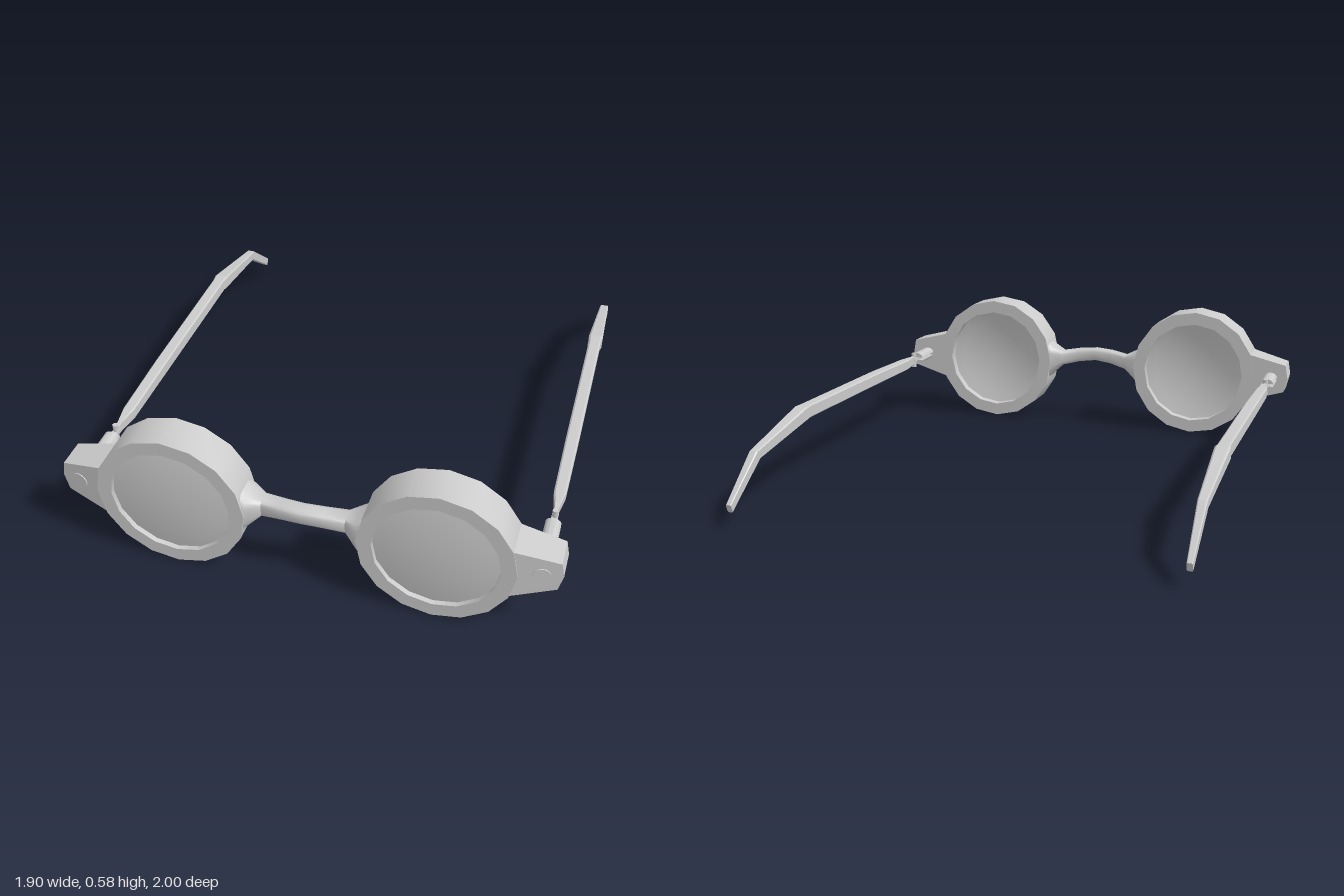
import * as THREE from 'three';
import { toCreasedNormals } from 'three/addons/utils/BufferGeometryUtils.js';
import { ConvexGeometry } from 'three/addons/geometries/ConvexGeometry.js';

const EYE_X = 0.503, EYE_Y = 0.294, HINGE_X = 0.873, HINGE_Y = 0.296;
const grey = new THREE.MeshStandardMaterial({ color: 0xcccccc });

function part(name, geometry, parent, x = 0, y = 0, z = 0) {
  const mesh = new THREE.Mesh(geometry, grey);
  mesh.name = name;
  mesh.position.set(x, y, z);
  parent.add(mesh);
  return mesh;
}

// Skin a row of equal-sized rings and close both ends
function loft(rings, crease) {
  const n = rings[0].length, index = [];
  for (let i = 0; i < rings.length - 1; i++) {
    for (let j = 0; j < n; j++) {
      const k = (j + 1) % n;
      const a = i * n + j, b = i * n + k, c = a + n, d = b + n;
      index.push(a, b, d, a, d, c);
    }
  }
  const end = (rings.length - 1) * n;
  for (let j = 1; j < n - 1; j++) {
    index.push(0, j + 1, j, end, end + j, end + j + 1);
  }
  const geometry = new THREE.BufferGeometry().setFromPoints(rings.flat());
  geometry.setIndex(index);
  return toCreasedNormals(geometry, crease);
}

// Sixteen-sided outline shared by the rim and its opening
function polygon(radius) {
  return Array.from({ length: 16 }, (_, i) => {
    const a = (i / 16) * Math.PI * 2;
    return new THREE.Vector2(radius * Math.cos(a), radius * Math.sin(a));
  });
}

function rimGeometry() {
  const shape = new THREE.Shape(polygon(0.292));
  shape.holes.push(new THREE.Path(polygon(0.235)));
  return toCreasedNormals(new THREE.ExtrudeGeometry(shape, { depth: 0.148, bevelEnabled: false }), 0.6);
}

// Lens with a domed front and a hollow back
function lensGeometry() {
  const profile = [], steps = 6, radius = 0.236;
  const bulge = (r, height) => height * (1 - (r / radius) ** 2);
  for (let i = 0; i <= steps; i++) {
    const r = radius * i / steps;
    profile.push(new THREE.Vector2(r, bulge(r, 0.04)));
  }
  for (let i = steps; i >= 0; i--) {
    const r = radius * i / steps;
    profile.push(new THREE.Vector2(r, 0.09 + bulge(r, 0.018)));
  }
  return toCreasedNormals(new THREE.LatheGeometry(profile, 16).rotateX(Math.PI / 2), 0.6);
}

// Tapered lug at the outer side of a rim, its face falling back to the tip
function endPieceGeometry(s) {
  const outline = [
    [0.766, 0.403, 0.999], [0.939, 0.361, 0.967], [0.95, 0.3, 0.965],
    [0.934, 0.234, 0.967], [0.766, 0.183, 0.999],
  ];
  const points = outline.flatMap(([x, y, z]) => [
    new THREE.Vector3(s * x, y, z), new THREE.Vector3(s * x, y, 0.853),
  ]);
  return toCreasedNormals(new ConvexGeometry(points), 0.3);
}

// Arched bridge flaring into both rims: x, low y, high y, back z, front z
function bridgeGeometry() {
  const half = [
    [0.25, 0.185, 0.4, 0.854, 0.997], [0.21, 0.232, 0.37, 0.856, 0.995],
    [0.16, 0.276, 0.346, 0.885, 0.958], [0.08, 0.295, 0.358, 0.905, 0.975],
  ];
  const stations = [
    ...half.map(([x, ...rest]) => [-x, ...rest]),
    [0, 0.304, 0.363, 0.915, 0.985],
    ...half.slice().reverse(),
  ];
  // Rounded-square cross-section
  const soft = v => Math.sign(v) * Math.sqrt(Math.abs(v));
  const rings = stations.map(([x, y0, y1, z0, z1]) => Array.from({ length: 12 }, (_, i) => {
    const a = ((i + 0.5) / 12) * Math.PI * 2;
    return new THREE.Vector3(x,
      (y0 + y1) / 2 + (y1 - y0) / 2 * soft(Math.cos(a)),
      (z0 + z1) / 2 + (z1 - z0) / 2 * soft(Math.sin(a)));
  }));
  return loft(rings, 0.8);
}

// Side arm from ear tip to hinge, edges chamfered: top z, top y, bottom z, bottom y, half width
function armGeometry() {
  const stations = [
    [-1, 0.096, -0.987, 0.063, 0.011],
    [-0.81, 0.252, -0.787, 0.216, 0.018],
    [-0.44, 0.336, -0.42, 0.281, 0.03],
    [-0.4, 0.336, -0.4, 0.281, 0.025],
    [0.25, 0.33, 0.25, 0.277, 0.025],
    [0.56, 0.32, 0.56, 0.273, 0.023],
    [0.645, 0.317, 0.645, 0.274, 0.009],
    [0.672, 0.315, 0.672, 0.276, 0.008],
  ];
  const corners = [
    [1, 0.1], [1, 0.9], [0.75, 1], [-0.75, 1],
    [-1, 0.9], [-1, 0.1], [-0.75, 0], [0.75, 0],
  ];
  return loft(stations.map(([zt, yt, zb, yb, w]) => corners.map(([u, v]) =>
    new THREE.Vector3(u * w, yb + (yt - yb) * v, zb + (zt - zb) * v))), 0.2);
}

// Half-round prong; two of them leave a slot for the hinge tongue
function prongGeometry() {
  const shape = new THREE.Shape();
  shape.absellipse(0, 0.006, 0.029, 0.022, 0, Math.PI, false);
  shape.closePath();
  const geometry = new THREE.ExtrudeGeometry(shape, { depth: 0.14, bevelEnabled: false, curveSegments: 8 });
  return toCreasedNormals(geometry, 0.6);
}

export function createModel() {
  const model = new THREE.Group();
  model.name = 'spectacles';

  const front = new THREE.Group();
  front.name = 'frontFrame';
  model.add(front);
  part('bridge', bridgeGeometry(), front);

  for (const [side, s] of [['left', 1], ['right', -1]]) {
    // Rim and lens, turned slightly in the frame
    const eye = new THREE.Group();
    eye.name = side + 'Eye';
    eye.position.set(s * EYE_X, EYE_Y, 0.852);
    eye.rotation.z = -s * 0.025;
    front.add(eye);
    part(side + 'Rim', rimGeometry(), eye);
    part(side + 'Lens', lensGeometry(), eye, 0, 0, 0.038);

    // Lug with a rivet set square to its sloping face
    part(side + 'EndPiece', endPieceGeometry(s), front);
    const rivet = new THREE.CylinderGeometry(0.033, 0.033, 0.03, 16).rotateX(Math.PI / 2);
    part(side + 'Rivet', rivet, front, s * HINGE_X, 0.3, 0.968).rotation.y = s * 0.183;

    // Hinge: slotted barrel, tongue and upright pin
    const hinge = new THREE.Group();
    hinge.name = side + 'Hinge';
    hinge.position.set(s * HINGE_X, HINGE_Y, 0);
    model.add(hinge);
    part('upperProng', prongGeometry(), hinge, 0, 0, 0.715);
    part('lowerProng', prongGeometry(), hinge, 0, 0, 0.715).rotation.z = Math.PI;
    part('tongue', new THREE.BoxGeometry(0.024, 0.012, 0.2), hinge, 0, 0, 0.76);
    part('pin', new THREE.CylinderGeometry(0.011, 0.011, 0.07, 10), hinge, 0, 0, 0.68);

    part(side + 'Arm', armGeometry(), model, s * HINGE_X);
  }
  return model;
}
